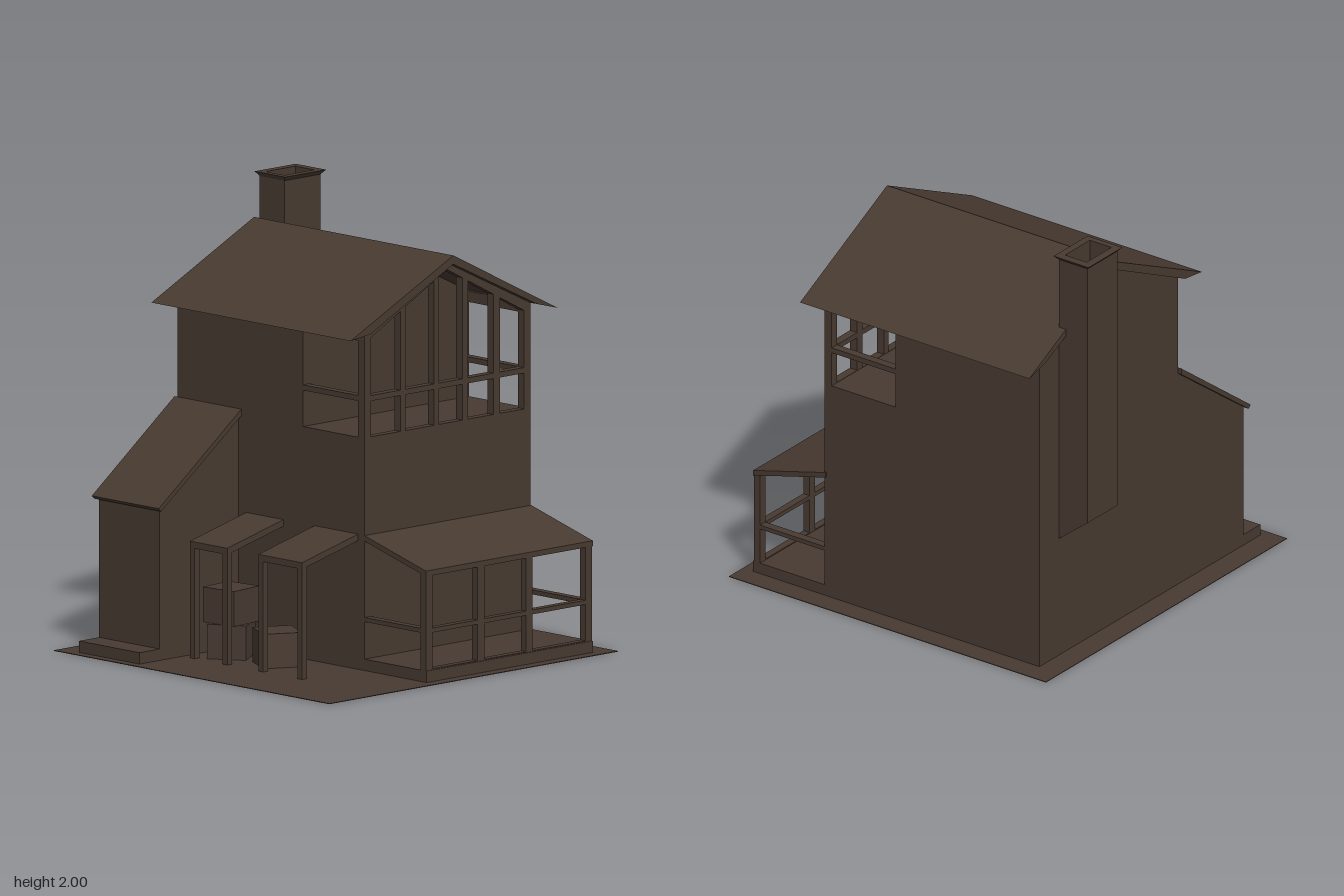
import * as THREE from 'three';

const brown = new THREE.MeshStandardMaterial({ color: 0x483a31 });
brown.name = 'darkBrown';

function add(parent, name, geometry) {
  const mesh = new THREE.Mesh(geometry, brown);
  mesh.name = name;
  parent.add(mesh);
  return mesh;
}

// Box given by its limits on each axis
function box(parent, name, [x0, x1], [y0, y1], [z0, z1]) {
  const g = new THREE.BoxGeometry(x1 - x0, y1 - y0, z1 - z0);
  g.translate((x0 + x1) / 2, (y0 + y1) / 2, (z0 + z1) / 2);
  return add(parent, name, g);
}

const toPoints = (list) => list.map(([a, b]) => new THREE.Vector2(a, b));

function extrude(points, depth, holes = []) {
  const shape = new THREE.Shape(toPoints(points));
  shape.holes = holes.map((h) => new THREE.Path(toPoints(h)));
  return new THREE.ExtrudeGeometry(shape, { depth, bevelEnabled: false });
}

// Side profile of [z, y] points, swept from x0 to x1
function sweepX(parent, name, points, x0, x1, holes) {
  const g = extrude(points, x1 - x0, holes).rotateY(-Math.PI / 2).translate(x1, 0, 0);
  return add(parent, name, g);
}

// Front profile of [x, y] points, swept from z0 to z1
function sweepZ(parent, name, points, z0, z1) {
  return add(parent, name, extrude(points, z1 - z0).translate(0, 0, z0));
}

const rect = (a0, a1, b0, b1) => [[a0, b0], [a1, b0], [a1, b1], [a0, b1]];

function group(parent, name) {
  const g = new THREE.Group();
  g.name = name;
  parent.add(g);
  return g;
}

const FRONT = 0.255, BACK = -0.78, RIDGE = -0.26;
const GABLE = [[BACK, 1.06], [FRONT, 1.06], [FRONT, 1.55], [RIDGE, 1.81], [BACK, 1.55]];

function buildHouse(root) {
  const house = group(root, 'house');
  box(house, 'lowerWalls', [-0.74, 0.46], [0, 1.06], [BACK, FRONT]);
  sweepX(house, 'upperWalls', GABLE, -0.74, 0.065);
  sweepX(house, 'mainRoof', [[0.38, 1.525], [RIDGE, 1.83], [-0.91, 1.505],
    [BACK, 1.54], [RIDGE, 1.79], [FRONT, 1.54]], -0.78, 0.5);

  // Loggia: glazed gable with a rail, open at both ends
  const loggia = group(house, 'loggia');
  const topAt = (z) => 1.76 - 0.52 * Math.abs(z - RIDGE);
  const holes = [];
  for (const [z0, z1] of [[0.03, 0.215], [-0.18, 0], [-0.355, -0.21], [-0.55, -0.39], [-0.74, -0.59]]) {
    holes.push(rect(z0, z1, 1.06 + 0.002, 1.225));
    const head = [[z1, topAt(z1)]];
    if (z0 < RIDGE && z1 > RIDGE) head.push([RIDGE, topAt(RIDGE)]);
    holes.push([[z0, 1.25], [z1, 1.25], ...head, [z0, topAt(z0)]]);
  }
  sweepX(loggia, 'gableFrame', GABLE, 0.42, 0.46, holes);
  for (const [end, z] of [['front', FRONT - 0.04], ['back', BACK]]) {
    box(loggia, end + 'Rail', [0.065, 0.42], [1.225, 1.25], [z, z + 0.04]);
    box(loggia, end + 'Header', [0.065, 0.42], [1.5, 1.55], [z, z + 0.04]);
  }
}

function buildChimney(root) {
  const chimney = group(root, 'chimney');
  sweepZ(chimney, 'chimneyStack',
    [[-0.9, 0.71], [-0.74, 0.585], [-0.74, 1.8], [-0.9, 1.8]], -0.635, -0.41);
  // Hollow flue: plan is [x, -z]
  const flue = extrude(rect(-0.9, -0.74, 0.41, 0.635), 0.19, [rect(-0.88, -0.76, 0.43, 0.615)]);
  add(chimney, 'chimneyFlue', flue.rotateX(-Math.PI / 2).translate(0, 1.8, 0));
  // Cap flares outward toward the top
  const cap = extrude(rect(-0.92, -0.725, 0.4, 0.655), 0.02, [rect(-0.88, -0.76, 0.43, 0.615)]);
  cap.rotateX(-Math.PI / 2).translate(0, 1.98, 0);
  const p = cap.attributes.position;
  for (let i = 0; i < p.count; i++) {
    if (p.getY(i) > 1.99) continue;
    p.setX(i, THREE.MathUtils.clamp(p.getX(i), -0.9, -0.74));
    p.setZ(i, THREE.MathUtils.clamp(p.getZ(i), -0.635, -0.41));
  }
  cap.computeVertexNormals();
  add(chimney, 'chimneyCap', cap);
}

function buildEntrance(root) {
  const entrance = group(root, 'entranceWing');
  sweepX(entrance, 'entranceWalls',
    [[0.25, 0], [0.745, 0], [0.745, 0.7], [0.25, 1.07]], -0.74, -0.35);
  sweepX(entrance, 'entranceRoof',
    [[0.755, 0.685], [0.77, 0.7], [0.255, 1.085], [0.255, 1.055]], -0.76, -0.33);
  box(entrance, 'entranceStep', [-0.74, -0.35], [0, 0.055], [0.74, 0.87]);
}

function buildSunroom(root) {
  const sunroom = group(root, 'sunroom');
  box(sunroom, 'sunroomFloor', [0.46, 0.86], [0, 0.055], [BACK, FRONT]);
  const holes = [];
  for (const [z0, z1] of [[-0.065, 0.215], [-0.37, -0.11], [-0.74, -0.41]]) {
    holes.push(rect(z0, z1, 0.06, 0.225), rect(z0, z1, 0.245, 0.495));
  }
  sweepX(sunroom, 'windowFrame', rect(BACK, FRONT, 0.05, 0.505), 0.82, 0.855, holes);
  for (const [end, z] of [['front', FRONT - 0.04], ['back', BACK]]) {
    box(sunroom, end + 'SunroomRail', [0.46, 0.82], [0.225, 0.245], [z, z + 0.04]);
  }
  sweepZ(sunroom, 'sunroomRoof',
    [[0.45, 0.595], [0.855, 0.485], [0.855, 0.51], [0.45, 0.62]], -0.785, FRONT);
}

function buildCanopy(root, name, x0, x1) {
  const canopy = group(root, name);
  sweepX(canopy, 'canopyRoof',
    [[0.25, 0.59], [0.605, 0.505], [0.605, 0.535], [0.25, 0.62]], x0, x1);
  box(canopy, 'rightPost', [x0, x0 + 0.03], [0, 0.52], [0.575, 0.605]);
  box(canopy, 'leftPost', [x1 - 0.03, x1], [0, 0.52], [0.575, 0.605]);
}

export function createModel() {
  const root = new THREE.Group();
  root.name = 'house';

  // Thin ground slab
  box(root, 'ground', [-0.855, 0.915], [0, 0.003], [-0.885, 0.915]);

  buildHouse(root);
  buildChimney(root);
  buildEntrance(root);
  buildSunroom(root);
  buildCanopy(root, 'rightCanopy', -0.3, -0.06);
  buildCanopy(root, 'leftCanopy', 0.14, 0.42);

  // Crates: x, base y, z, turn
  const crates = [[-0.205, 0, 0.44, 0.57], [-0.205, 0.16, 0.44, 0.11], [0.08, 0, 0.43, -0.5]];
  for (const [x, y, z, turn] of crates) {
    const crate = add(root, 'crate', new THREE.BoxGeometry(0.18, 0.16, 0.18));
    crate.position.set(x, y + 0.08, z);
    crate.rotation.y = turn;
  }
  return root;
}
